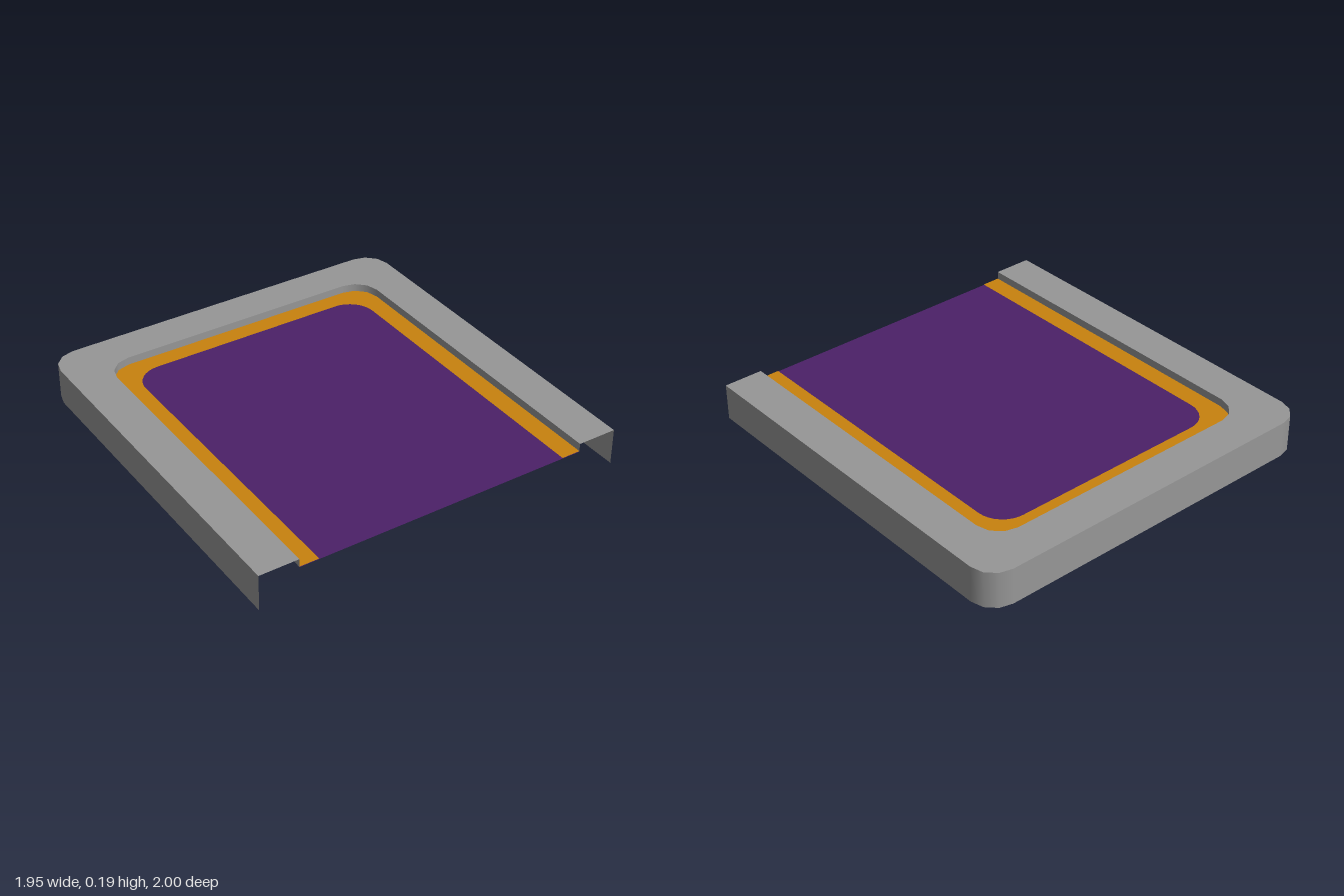
import * as THREE from 'three';

const FRONT = 1;

// U-shaped path: right front -> rounded back corners -> left front.
// Each point carries its outward normal (nx, nz).
function uPath(halfW, back, r, segs) {
  const pts = [{ x: halfW, z: FRONT, nx: 1, nz: 0 }];
  for (const corner of [0, 1]) {
    const cx = (halfW - r) * (corner ? -1 : 1), cz = back + r;
    for (let i = 0; i <= segs; i++) {
      const a = (corner + i / segs) * Math.PI / 2;
      const nx = Math.cos(a), nz = -Math.sin(a);
      pts.push({ x: cx + r * nx, z: cz + r * nz, nx, nz });
    }
  }
  pts.push({ x: -halfW, z: FRONT, nx: -1, nz: 0 });
  return pts;
}

// Upright wall along a path; inward walls run the path backwards.
function wall(path, y0, y1, inward) {
  const pts = inward ? [...path].reverse() : path;
  const s = inward ? -1 : 1;
  const pos = [], nor = [], idx = [];
  pts.forEach((p, i) => {
    pos.push(p.x, y0, p.z, p.x, y1, p.z);
    nor.push(s * p.nx, 0, s * p.nz, s * p.nx, 0, s * p.nz);
    if (i < pts.length - 1) {
      const k = 2 * i;
      idx.push(k, k + 2, k + 3, k, k + 3, k + 1);
    }
  });
  const g = new THREE.BufferGeometry();
  g.setAttribute('position', new THREE.Float32BufferAttribute(pos, 3));
  g.setAttribute('normal', new THREE.Float32BufferAttribute(nor, 3));
  g.setIndex(idx);
  return g;
}

// Flat face at height y, either a filled outline or the band between two paths.
function plate(outer, y, inner = []) {
  const outline = [...outer, ...[...inner].reverse()];
  const shape = new THREE.Shape(outline.map(p => new THREE.Vector2(p.x, -p.z)));
  return new THREE.ShapeGeometry(shape).rotateX(-Math.PI / 2).translate(0, y, 0);
}

export function createModel() {
  const model = new THREE.Group();
  model.name = 'tray';
  const material = (name, color) => {
    const m = new THREE.MeshStandardMaterial({ color, side: THREE.DoubleSide });
    m.name = name;
    return m;
  };
  const grey = material('grey', 0x969696);
  const orange = material('orange', 0xc8820e);
  const purple = material('purple', 0x4c2068);

  const add = (name, geometry, mat) => {
    const mesh = new THREE.Mesh(geometry, mat);
    mesh.name = name;
    model.add(mesh);
  };

  const top = 0.19, floorY = 0.146;
  const outer = uPath(0.975, -1, 0.13, 3);
  const recess = uPath(0.77, -0.795, 0.13, 3);
  const panel = uPath(0.67, -0.7, 0.14, 8);

  // Open-fronted, open-bottomed shell
  add('outerWall', wall(outer, 0, top, false), grey);
  add('rim', plate(outer, top, recess), grey);
  add('recessWall', wall(recess, floorY, top, true), grey);

  // Sunken floor with a painted border on top
  add('floor', plate(recess, floorY), purple);
  add('floorBorder', plate(recess, floorY + 0.003, panel), orange);

  return model;
}
